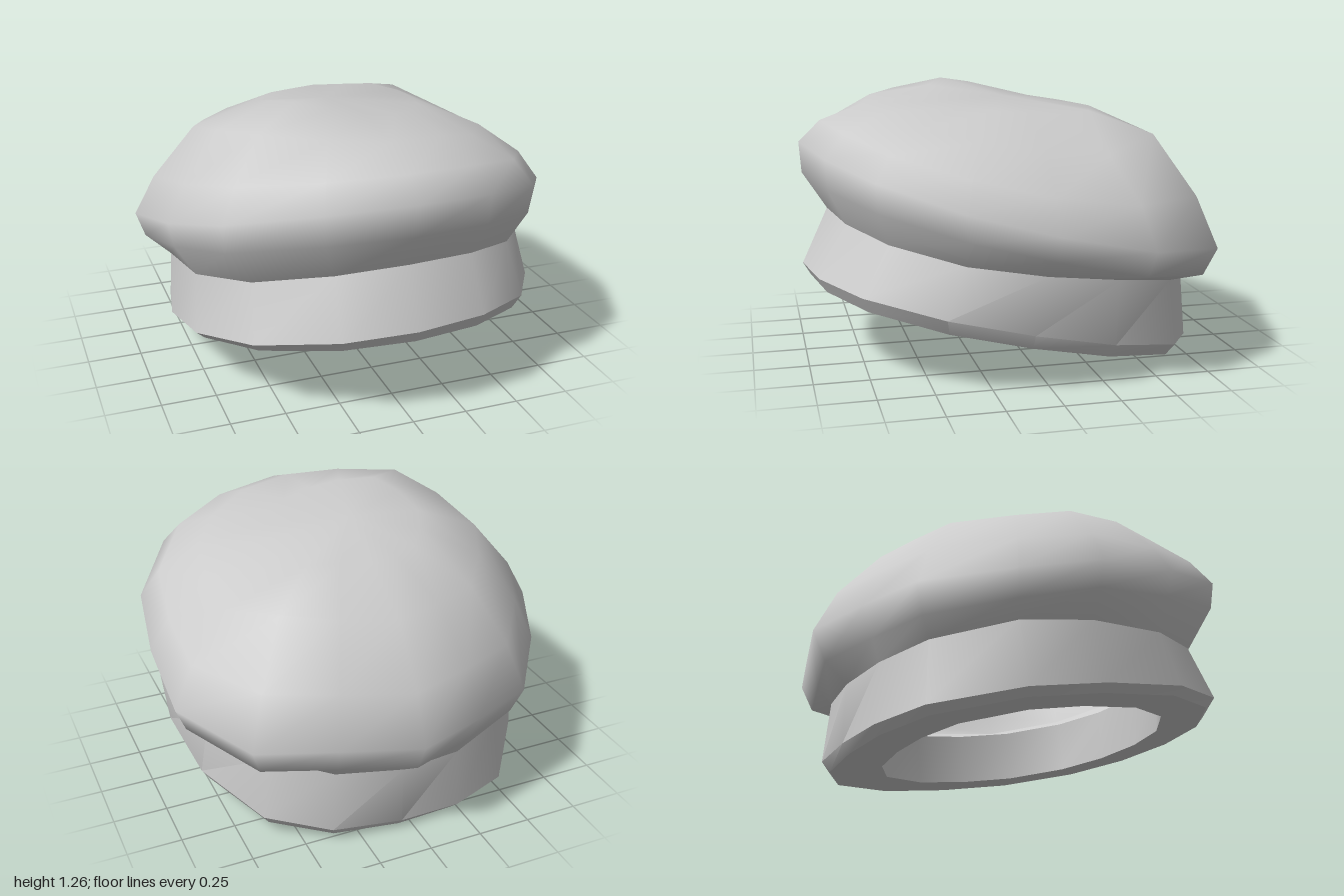
import * as THREE from 'three';
import { toCreasedNormals } from 'three/addons/utils/BufferGeometryUtils.js';

// Widest outline of the crown seen from above: [x, z]
const OUTLINE = [
  [0.05, -1], [0.4, -0.89], [0.74, -0.78], [0.96, -0.41], [0.95, 0], [0.89, 0.38],
  [0.67, 0.73], [0.37, 0.91], [0, 1], [-0.37, 0.91], [-0.74, 0.69], [-0.89, 0.31],
  [-0.96, -0.12], [-0.81, -0.45], [-0.56, -0.79], [-0.27, -0.9],
];

// Folds of the crown cloth: [x, z, radius, height]
const FOLDS = [
  [-0.33, 0.33, 0.3, 0.08], [-0.55, 0.05, 0.25, 0.03], [-0.62, 0.5, 0.25, 0.02],
  [0.58, -0.6, 0.25, 0.05], [0.72, -0.15, 0.25, -0.08], [0.58, 0.42, 0.25, -0.06],
];

// Rounded-square ring whose height follows z; flare fills its corners, more at the back
function bandRing(rx, rz, cz, flare, height, roll = 0) {
  return OUTLINE.map(([ox, oz]) => {
    const a = Math.atan2(oz, ox);
    const k = 1 + flare * (1 - 0.5 * Math.sin(a)) * Math.sin(2 * a) ** 2;
    const x = 0.015 + rx * k * Math.cos(a), z = cz + rz * k * Math.sin(a);
    return [x, height(z) + roll * x, z];
  });
}

// Scaled outline, tilted and bowed along z; grow widens it toward the front
function crownRing(s, y0, slope, bow, fold, grow = 0) {
  return OUTLINE.map(([ox, oz]) => {
    const k = s + grow * oz, x = ox * k, z = oz * k;
    const f = FOLDS.reduce((sum, [cx, cz, r, h]) =>
      sum + h * Math.exp(-((x - cx) ** 2 + (z - cz) ** 2) / (r * r)), 0);
    return [x, y0 + slope * z + bow * z * z + fold * f, z];
  });
}

// Skin a stack of rings; an optional apex closes the last one
function loft(rings, apex) {
  const n = OUTLINE.length, index = [];
  const points = rings.flat();
  for (let i = 0; i < rings.length - 1; i++) {
    for (let j = 0; j < n; j++) {
      const a = i * n + j, b = i * n + (j + 1) % n;
      index.push(a, a + n, b, b, a + n, b + n);
    }
  }
  if (apex) {
    const base = (rings.length - 1) * n;
    for (let j = 0; j < n; j++) index.push(base + j, points.length, base + (j + 1) % n);
    points.push(apex);
  }
  const g = new THREE.BufferGeometry();
  g.setAttribute('position', new THREE.Float32BufferAttribute(points.flat(), 3));
  g.setIndex(index);
  g.computeVertexNormals();
  return g;
}

export function createModel() {
  const group = new THREE.Group();
  group.name = 'softCap';
  const material = new THREE.MeshStandardMaterial({ color: 0xcccccc, side: THREE.DoubleSide });

  // Seam dips along the sides and climbs at the front
  const seam = bandRing(0.83, 0.85, 0.03, 0.03, z => 0.5 + 0.13 * z + 0.12 * z ** 3, 0.02);
  const underside = z => 0.172 + 0.213 * z;

  // Puffy crown, smooth, from the seam over the widest line to the top
  const crown = new THREE.Mesh(loft([
    seam,
    crownRing(0.962, 0.595, 0.235, 0.04, 0, 0.028),
    crownRing(1, 0.71, 0.23, 0.07, 0),
    crownRing(0.9, 0.88, 0.19, 0.07, 0.5),
    crownRing(0.7, 1.08, 0.12, 0.03, 1),
    crownRing(0.4, 1.17, 0.06, 0, 1),
  ], [-0.05, 1.2, 0.02]), material);
  crown.name = 'crown';

  // Thick head band: ledge, inner wall, underside, narrow lip, outer wall
  const band = new THREE.Mesh(toCreasedNormals(loft([
    seam,
    bandRing(0.63, 0.67, 0.09, 0.05, z => 0.43 + 0.22 * z),
    bandRing(0.61, 0.66, 0.1, 0.05, underside),
    bandRing(0.81, 0.875, 0.09, 0.06, underside, 0.015),
    bandRing(0.85, 0.91, 0.09, 0.063, z => 0.222 + 0.215 * z, 0.035),
    seam,
  ]), 0.7), material);
  band.name = 'headBand';

  group.add(crown, band);
  return group;
}
